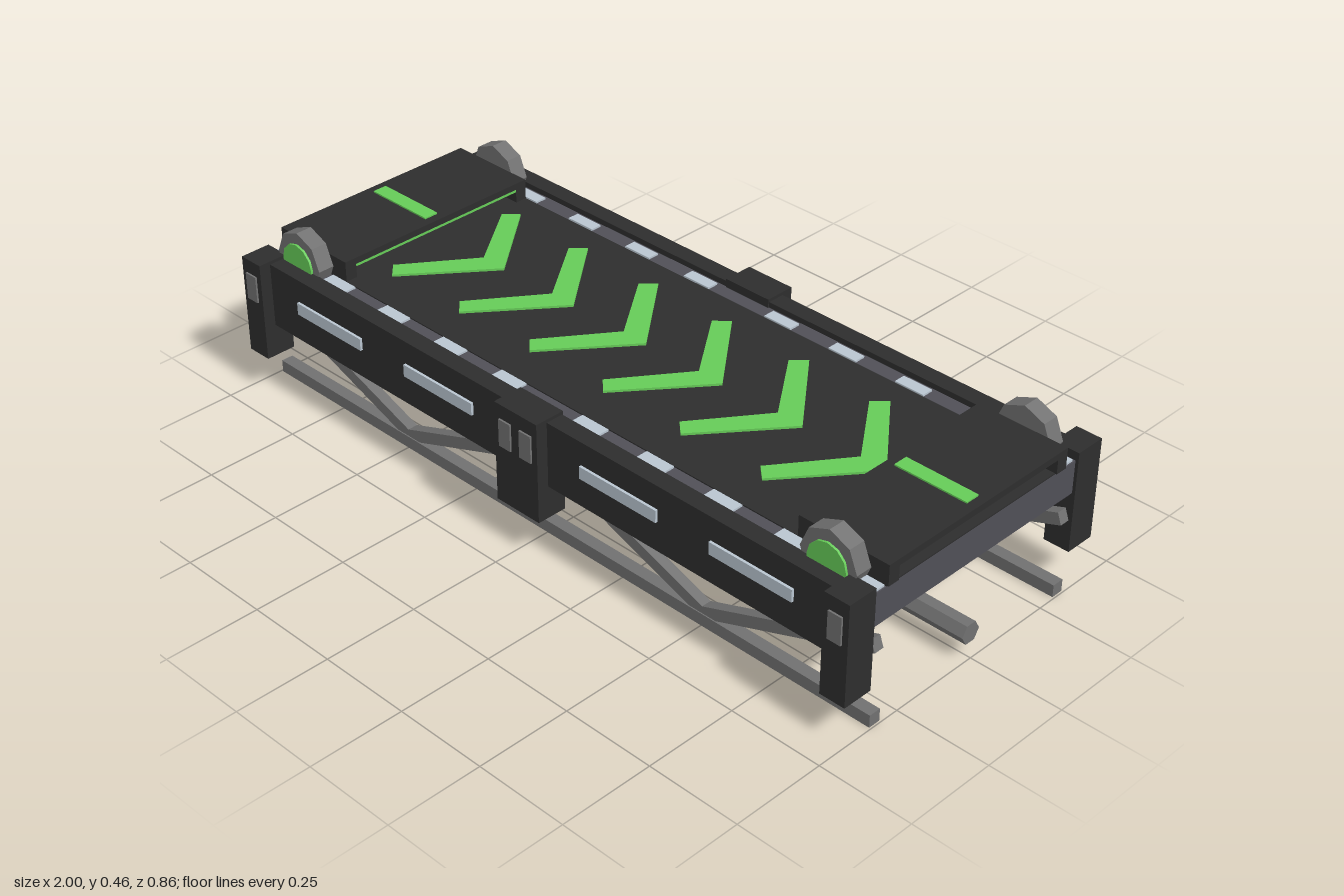
import * as THREE from 'three';

const mat = (name, color, extra = {}) => {
  const m = new THREE.MeshStandardMaterial({ color, ...extra });
  m.name = name;
  return m;
};

export function createModel() {
  const root = new THREE.Group();
  root.name = 'conveyorPlatform';
  const dark = mat('charcoal', 0x2d2d2d);
  const slate = mat('slate', 0x504f57);
  const steel = mat('steel', 0x707070, { flatShading: true });
  const green = mat('green', 0x66cc58);
  const light = mat('paleLight', 0xb9c5d0);

  const add = (name, geo, m) => {
    const mesh = new THREE.Mesh(geo, m);
    mesh.name = name;
    root.add(mesh);
    return mesh;
  };
  // Box given by its minimum and maximum on each axis
  const box = (name, m, x0, x1, y0, y1, z0, z1) => {
    const mesh = add(name, new THREE.BoxGeometry(x1 - x0, y1 - y0, z1 - z0), m);
    mesh.position.set((x0 + x1) / 2, (y0 + y1) / 2, (z0 + z1) / 2);
    return mesh;
  };
  // Same box, mirrored to the given side in z
  const sideBox = (name, m, s, x0, x1, y0, y1, z0, z1) =>
    box(name, m, x0, x1, y0, y1, s > 0 ? z0 : -z1, s > 0 ? z1 : -z0);

  // Deck slab with its dark running surface
  box('deckSlab', slate, -0.99, 0.99, 0.267, 0.355, -0.348, 0.348);
  box('deckSurface', dark, -0.99, 0.99, 0.355, 0.358, -0.3, 0.3);

  // Floating arrow markers pointing to +x
  const arrow = new THREE.Shape([
    [0, 0], [-0.172, 0.215], [-0.207, 0.182], [-0.075, 0], [-0.207, -0.182], [-0.172, -0.215],
  ].map(([x, y]) => new THREE.Vector2(x, y)));
  const arrowGeo = new THREE.ExtrudeGeometry(arrow, { depth: 0.006, bevelEnabled: false });
  arrowGeo.rotateX(-Math.PI / 2);
  for (let i = 0; i < 6; i++) {
    add('arrowMarker', arrowGeo, green).position.set(-0.5 + i * 0.247, 0.367, 0);
  }

  // Open bridge plates over both ends
  const arch = new THREE.Shape([
    [-0.3, 0.357], [-0.267, 0.357], [-0.267, 0.395], [0.267, 0.395],
    [0.267, 0.357], [0.3, 0.357], [0.3, 0.412], [-0.3, 0.412],
  ].map(([x, y]) => new THREE.Vector2(x, y)));
  const archGeo = new THREE.ExtrudeGeometry(arch, { depth: 0.25, bevelEnabled: false });
  archGeo.translate(0, 0, -0.125).rotateY(Math.PI / 2);
  for (const e of [-1, 1]) {
    add('endBridge', archGeo, dark).position.x = e * 0.87;
    box('bridgeStripe', green, e * 0.87 - 0.1, e * 0.87 + 0.1, 0.412, 0.416, -0.02, 0.02);
    box('bridgeUnderGlow', green, e * 0.755 - 0.01, e * 0.755 + 0.01, 0.388, 0.395, -0.267, 0.267);
  }

  const wheelGeo = new THREE.CylinderGeometry(0.079, 0.079, 0.045, 8).rotateX(Math.PI / 2);
  const hubGeo = new THREE.CylinderGeometry(0.055, 0.055, 0.006, 12).rotateX(Math.PI / 2);

  for (const s of [-1, 1]) {
    // Side rail with its long lamps
    sideBox('sideRail', dark, s, -0.99, 0.99, 0.195, 0.37, 0.345, 0.393);
    for (const x of [-0.7, -0.3, 0.3, 0.7]) {
      sideBox('railLamp', light, s, x - 0.12, x + 0.12, 0.275, 0.308, 0.393, 0.4);
    }
    // Small lamps in the gutter
    for (const x of [0.135, 0.34, 0.545, 0.75, 0.945]) {
      for (const e of [-1, 1]) {
        sideBox('gutterLamp', light, s, e * x - 0.042, e * x + 0.042, 0.355, 0.36, 0.303, 0.335);
      }
    }
    // Centre post and corner posts with inset plates
    sideBox('centrePost', dark, s, -0.07, 0.07, 0.108, 0.378, 0.342, 0.425);
    for (const e of [-1, 1]) {
      sideBox('centrePostPlate', steel, s, e * 0.034 - 0.019, e * 0.034 + 0.019, 0.267, 0.34, 0.425, 0.43);
      sideBox('cornerPost', dark, s, e * 0.963 - 0.035, e * 0.963 + 0.035, 0.108, 0.378, 0.342, 0.425);
      sideBox('cornerPostPlate', steel, s, e * 0.963 - 0.019, e * 0.963 + 0.019, 0.267, 0.34, 0.425, 0.43);
      // Corner rollers
      add('roller', wheelGeo, steel).position.set(e * 0.87, 0.384, s * 0.3245);
      add('rollerHub', hubGeo, green).position.set(e * 0.87, 0.377, s * 0.35);
    }
    // Truss: lower chord and zigzag braces
    sideBox('trussChord', steel, s, -0.995, 0.995, 0, 0.033, 0.302, 0.335);
    for (const [x0, x1] of [[-0.99, -0.5], [0, -0.5], [0, 0.5], [0.99, 0.5]]) {
      const dx = x1 - x0, dy = 0.035 - 0.215;
      const brace = add('trussBrace', new THREE.BoxGeometry(Math.hypot(dx, dy), 0.032, 0.028), steel);
      brace.position.set((x0 + x1) / 2, 0.125, s * 0.318);
      brace.rotation.z = Math.atan(dy / dx);
    }
  }

  // Hexagonal pipe along the middle
  const pipe = new THREE.CylinderGeometry(0.029, 0.029, 1.99, 6);
  pipe.rotateZ(Math.PI / 2);
  add('centrePipe', pipe, steel).position.y = 0.067;

  return root;
}
